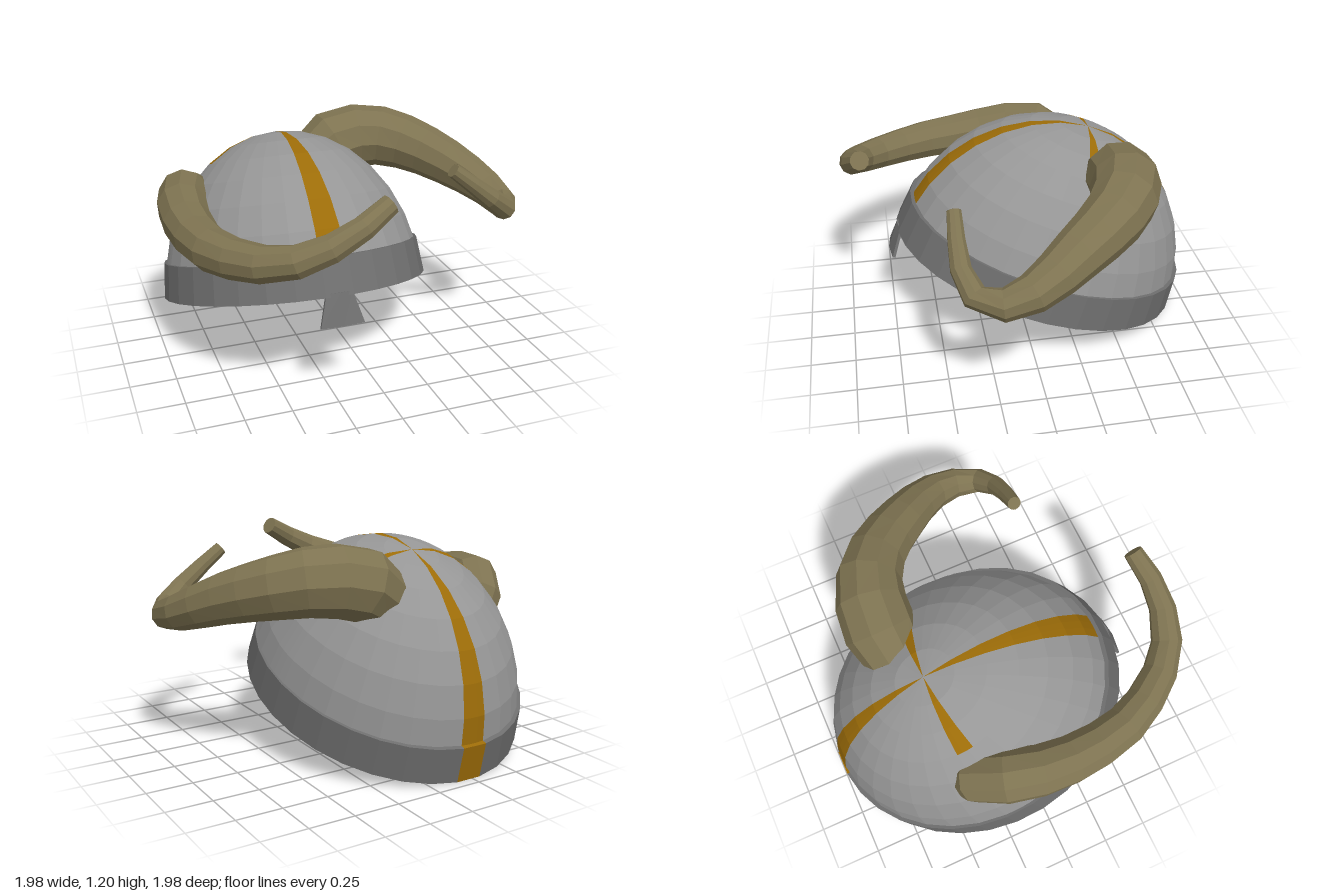
import * as THREE from 'three';

const SEG = (Math.PI * 2) / 32; // one panel of the 32-sided helmet

const flat = (color, name) => {
  const m = new THREE.MeshStandardMaterial({ color, flatShading: true, side: THREE.DoubleSide });
  m.name = name;
  return m;
};

function add(group, name, geometry, material) {
  const mesh = new THREE.Mesh(geometry, material);
  mesh.name = name;
  group.add(mesh);
  return mesh;
}

// Part of the dome: panels first..first+count, rows from..to counted down from the crown
function domePart(first, count, from, to) {
  const row = Math.PI / 16;
  return new THREE.SphereGeometry(1, count, to - from, (first - 0.5) * SEG, count * SEG,
    from * row, (to - from) * row).scale(0.73, 0.88, 0.85);
}

// Part of the oval rim band, turned from a profile; panel 0 is the front
function bandPart(profile, first, count) {
  const pts = profile.map(([r, y]) => new THREE.Vector2(r, y));
  return new THREE.LatheGeometry(pts, count, (first - 0.5) * SEG, count * SEG).scale(0.745, 1, 0.875);
}

// Tapered horn through [x, y, z, radius] stations
function horn(name, stations, material) {
  const group = new THREE.Group();
  group.name = name;
  const curve = new THREE.CatmullRomCurve3(stations.map(([x, y, z]) => new THREE.Vector3(x, y, z)));
  const rings = 13, sides = 10;
  const geo = new THREE.TubeGeometry(curve, rings, 1, sides, false);
  const pos = geo.attributes.position;
  const radiusAt = (u) => {
    const t = curve.getUtoTmapping(u) * (stations.length - 1);
    const i = Math.min(Math.floor(t), stations.length - 2);
    return THREE.MathUtils.lerp(stations[i][3], stations[i + 1][3], t - i);
  };
  const v = new THREE.Vector3();
  for (let i = 0; i <= rings; i++) {
    const centre = curve.getPointAt(i / rings);
    const r = radiusAt(i / rings);
    for (let j = 0; j <= sides; j++) {
      const k = i * (sides + 1) + j;
      v.fromBufferAttribute(pos, k).sub(centre).multiplyScalar(r).add(centre);
      pos.setXYZ(k, v.x, v.y, v.z);
    }
  }
  add(group, name + 'Body', geo, material);
  // End caps
  for (const u of [0, 1]) {
    const cap = add(group, u ? name + 'Tip' : name + 'Root',
      new THREE.CircleGeometry(radiusAt(u), sides), material);
    cap.position.copy(curve.getPointAt(u));
    const out = curve.getTangentAt(u).multiplyScalar(u ? 1 : -1);
    cap.quaternion.setFromUnitVectors(new THREE.Vector3(0, 0, 1), out);
  }
  return group;
}

export function createModel() {
  const model = new THREE.Group();
  model.name = 'hornedHelmet';
  const steel = flat(0x969696, 'steel');
  const darkSteel = flat(0x6e6e6e, 'darkSteel');
  const brass = flat(0x9c6c08, 'brass');
  const bone = flat(0x7e7351, 'bone');

  // Helmet shell, tilted back
  const helmet = new THREE.Group();
  helmet.name = 'helmet';
  helmet.position.set(-0.225, 0.29, -0.125);
  helmet.rotation.x = -0.339;
  model.add(helmet);

  // Dome quarters and the cross of stripes (0 right, 8 front, 16 left, 24 back)
  for (const k of [0, 8, 16, 24]) {
    add(helmet, 'domeQuarter', domePart(k + 1, 7, 0, 7), steel);
    const side = k % 16 === 0;
    add(helmet, side ? 'sideStripe' : 'longStripe', domePart(k, 1, 0, side ? 3 : 7), brass);
    if (side) add(helmet, 'domeSide', domePart(k, 1, 3, 7), steel);
  }

  // Rim band: outer wall, inner wall and stripe panels
  const outer = [[0.962, 0], [1, 0], [0.971, 0.2], [0.943, 0.2]];
  const inner = [[0.953, 0.172], [0.962, 0]];
  add(helmet, 'bandOuter', bandPart(outer, 17, 31), darkSteel);
  add(helmet, 'bandBackStripe', bandPart(outer, 16, 1), brass);
  for (const k of [0, 16]) {
    add(helmet, 'bandInner', bandPart(inner, k + 1, 15), darkSteel);
    add(helmet, 'bandInnerStripe', bandPart(inner, k, 1), brass);
  }

  // Flared, ridged nose guard with a brass back
  const guard = new THREE.BoxGeometry(2, 0.17, 0.016, 2, 1, 1);
  const p = guard.attributes.position;
  for (let i = 0; i < p.count; i++) {
    const x = p.getX(i);
    p.setX(i, x * (p.getY(i) > 0 ? 0.07 : 0.117));
    p.setZ(i, p.getZ(i) + (x === 0 ? 0.015 : 0));
  }
  const guardMesh = add(helmet, 'noseGuard', guard,
    [darkSteel, darkSteel, darkSteel, darkSteel, darkSteel, brass]);
  guardMesh.position.set(0, -0.066, 0.857);

  // Horns
  model.add(horn('leftHorn', [
    [0.03, 0.9, -0.49, 0.17], [0.17, 0.99, -0.51, 0.2], [0.38, 1.02, -0.48, 0.185],
    [0.56, 0.99, -0.37, 0.165], [0.75, 0.91, -0.135, 0.135], [0.88, 0.82, 0.08, 0.105],
    [0.91, 0.775, 0.24, 0.085], [0.87, 0.785, 0.36, 0.07], [0.78, 0.85, 0.42, 0.058],
    [0.68, 0.93, 0.435, 0.05], [0.5, 1.07, 0.43, 0.038],
  ], bone));
  model.add(horn('rightHorn', [
    [-0.58, 0.49, -0.38, 0.1], [-0.7, 0.74, -0.39, 0.13], [-0.8, 0.86, -0.25, 0.145],
    [-0.86, 0.865, -0.02, 0.135], [-0.86, 0.835, 0.2, 0.125], [-0.82, 0.825, 0.45, 0.115],
    [-0.71, 0.835, 0.67, 0.1], [-0.56, 0.865, 0.84, 0.088], [-0.45, 0.905, 0.89, 0.08],
    [-0.27, 0.985, 0.925, 0.068], [-0.04, 1.11, 0.87, 0.052],
  ], bone));

  return model;
}
